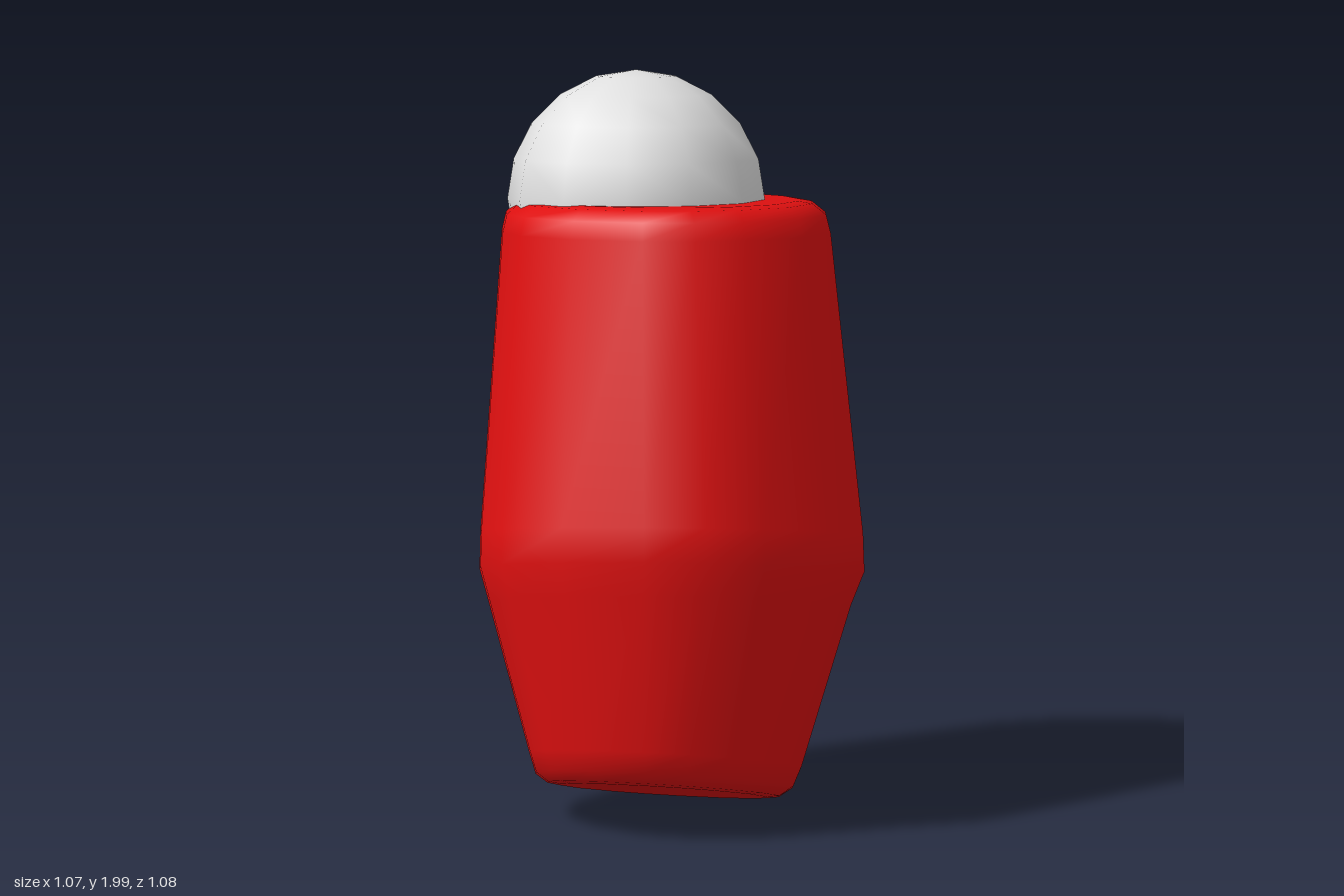
import * as THREE from 'three';

const SIDES = 16;

// Skin a stack of slanted rings: [centre x, y, z, radius, slope along x, slope along z]
function skinRings(rings) {
  const positions = [], index = [];
  rings.forEach(([cx, cy, cz, r, sx, sz], row) => {
    for (let i = 0; i < SIDES; i++) {
      const t = (i / SIDES) * Math.PI * 2;
      const a = t + 0.07 * Math.sin(4 * t); // sides bunch towards the diagonals
      const dx = r * Math.cos(a), dz = r * Math.sin(a);
      positions.push(cx + dx, cy + sx * dx + sz * dz, cz + dz);
      if (row === rings.length - 1) continue;
      const j = (i + 1) % SIDES;
      const p = row * SIDES + i, q = row * SIDES + j;
      if (r > 0) index.push(p, p + SIDES, q);
      if (rings[row + 1][3] > 0) index.push(q, p + SIDES, q + SIDES);
    }
  });
  const geometry = new THREE.BufferGeometry();
  geometry.setAttribute('position', new THREE.Float32BufferAttribute(positions, 3));
  geometry.setIndex(index);
  geometry.computeVertexNormals();
  return geometry;
}

export function createModel() {
  const group = new THREE.Group();
  group.name = 'capsuleWithBall';
  const red = new THREE.MeshStandardMaterial({ color: 0xe01010 });
  red.name = 'red';
  const white = new THREE.MeshStandardMaterial({ color: 0xe0e0e0 });
  white.name = 'white';

  // Leaning body: flat base, flared waist, long taper and rounded top rim
  const body = new THREE.Mesh(skinRings([
    [0.05, 0.085, 0.11, 0, 0.09, 0.24],
    [0.05, 0.085, 0.11, 0.28, 0.09, 0.24],
    [0.05, 0.09, 0.11, 0.315, 0.09, 0.24],
    [0.05, 0.115, 0.105, 0.35, 0.1, 0.24],
    [0.05, 0.17, 0.1, 0.37, 0.1, 0.24],
    [0.012, 0.58, 0.025, 0.492, 0.13, 0.21],
    [0.01, 0.67, 0.012, 0.523, 0.13, 0.21],
    [0.003, 0.77, 0.003, 0.52, 0.125, 0.2],
    [-0.085, 1.57, -0.098, 0.447, 0.08, 0.12],
    [-0.087, 1.62, -0.1, 0.435, 0.08, 0.12],
    [-0.09, 1.65, -0.1, 0.4, 0.08, 0.12],
    [-0.09, 1.657, -0.1, 0.36, 0.08, 0.12],
    [-0.09, 1.657, -0.1, 0, 0.08, 0.12],
  ]), red);
  body.name = 'body';

  // Ball seated in the top
  const ball = new THREE.Mesh(new THREE.SphereGeometry(0.347, 12, 10), white);
  ball.name = 'ball';
  ball.position.set(-0.17, 1.654, -0.078);
  ball.rotation.set(-0.13, 0, 0.09);

  group.add(body, ball);
  return group;
}
